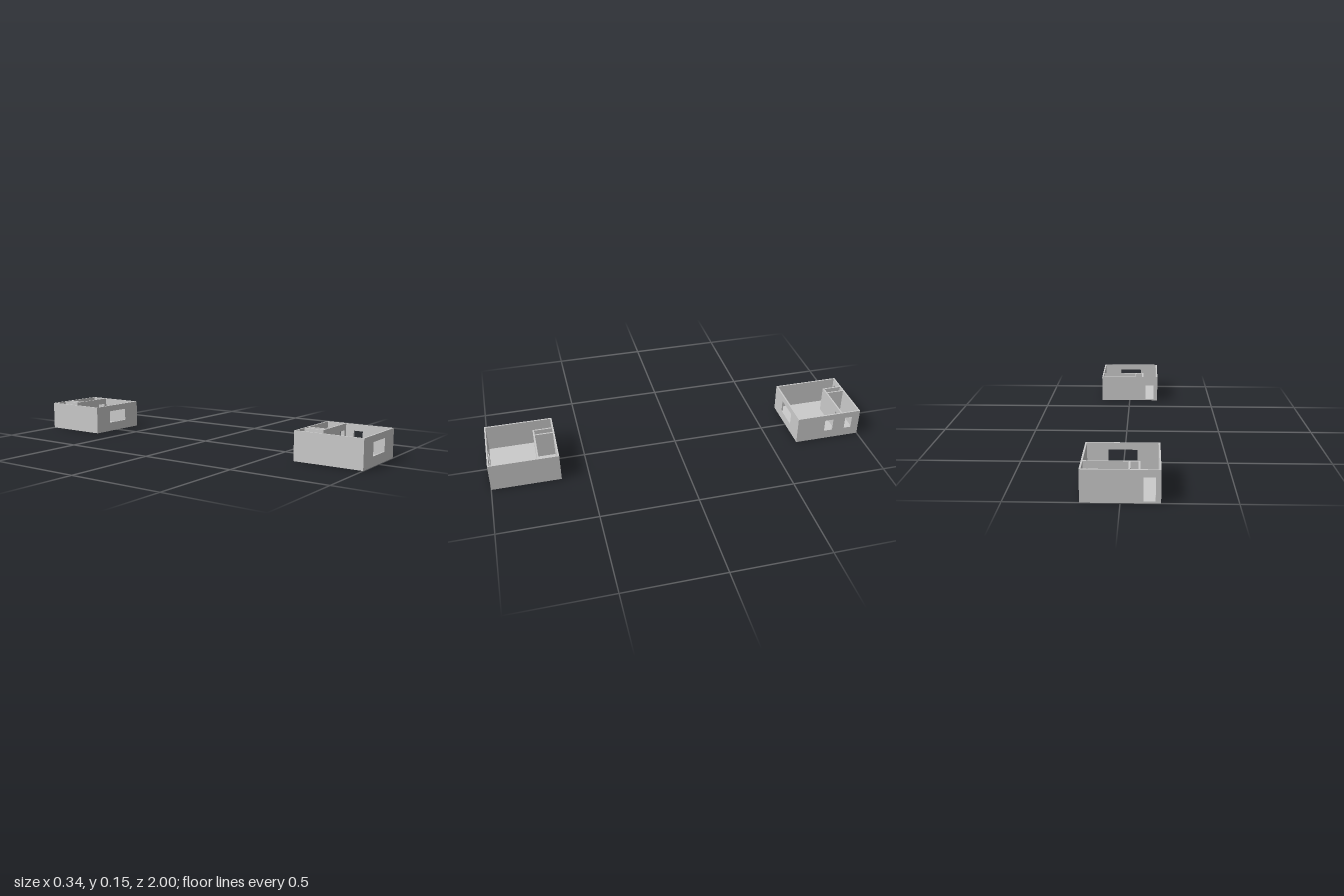
import * as THREE from 'three';

const W = 0.344, D = 0.357, H = 0.149; // outer size of one house
const T = 0.008;                       // wall thickness
const FLOOR = 0.008;                   // slab thickness
const SILL = 0.049, LINTEL = 0.116;    // opening heights
const X = W / 2;
const PARTITION_Z = 0.102;             // back face of the long inner wall

const material = new THREE.MeshStandardMaterial({ color: 0xcccccc, flatShading: true });

const windowHole = (a, b) => [a, b, SILL, LINTEL];
const doorHole = (a, b) => [a, b, FLOOR, LINTEL];

// Upright wall running from a to b, pierced by rectangular openings
function wall(name, a, b, holes = [], base = 0) {
  const rect = (S, x0, x1, y0, y1) => {
    const s = new S();
    s.moveTo(x0, y0);
    s.lineTo(x1, y0);
    s.lineTo(x1, y1);
    s.lineTo(x0, y1);
    s.closePath();
    return s;
  };
  const shape = rect(THREE.Shape, a, b, base, H);
  holes.forEach((h) => shape.holes.push(rect(THREE.Path, ...h)));
  const mesh = new THREE.Mesh(
    new THREE.ExtrudeGeometry(shape, { depth: T, bevelEnabled: false }), material);
  mesh.name = name;
  return mesh;
}

// Wall along x, with its back face at z
function wallAlongX(z, ...args) {
  const mesh = wall(...args);
  mesh.position.z = z;
  return mesh;
}

// Wall along z, with its +x face at x
function wallAlongZ(x, ...args) {
  const mesh = wall(...args);
  mesh.rotation.y = -Math.PI / 2;
  mesh.position.x = x;
  return mesh;
}

// One open-topped house, z running from 0 (back) to D (front)
function house(name, sealOutside) {
  const g = new THREE.Group();
  g.name = name;

  const floor = new THREE.Mesh(
    new THREE.BoxGeometry(W - 2 * T, FLOOR, D - 2 * T), material);
  floor.name = 'floor';
  floor.position.set(0, FLOOR / 2, D / 2);
  g.add(floor);

  // Outer walls
  const sideWindows = [[0.043, 0.083], [0.152, 0.2]];
  g.add(
    wallAlongX(D - T, 'frontWall', -X, X, [windowHole(-0.067, 0.066)]),
    wallAlongX(0, 'backWall', -X, X, [doorHole(-0.149, -0.098)]),
    wallAlongZ(X, 'leftWall', T, D - T, sideWindows.map((w) => windowHole(...w))),
    wallAlongZ(-X + T, 'rightWall', T, D - T)
  );

  // One-sided sheets closing the side windows on one face of the wall
  sideWindows.forEach(([a, b]) => {
    const sheet = new THREE.Mesh(new THREE.PlaneGeometry(b - a, LINTEL - SILL), material);
    sheet.name = 'windowSheet';
    sheet.rotation.y = sealOutside ? Math.PI / 2 : -Math.PI / 2;
    sheet.position.set(sealOutside ? X : X - T, (SILL + LINTEL) / 2, (a + b) / 2);
    g.add(sheet);
  });

  // Inner walls: a long partition and a narrow closet behind it
  const base = FLOOR / 2;
  g.add(
    wallAlongX(PARTITION_Z, 'partition', -0.084, X - T, [doorHole(0.1, 0.147)], base),
    wallAlongZ(-0.076, 'closetOuterWall', T, PARTITION_Z, [doorHole(0.05, 0.09)], base),
    wallAlongZ(-0.034, 'closetInnerWall', T, PARTITION_Z, [], base)
  );
  return g;
}

export function createModel() {
  const model = new THREE.Group();
  model.name = 'twoHouses';
  const front = house('frontHouse', true);
  front.position.z = 1 - D;
  const back = house('backHouse', false);
  back.position.z = -1;
  model.add(front, back);
  return model;
}
